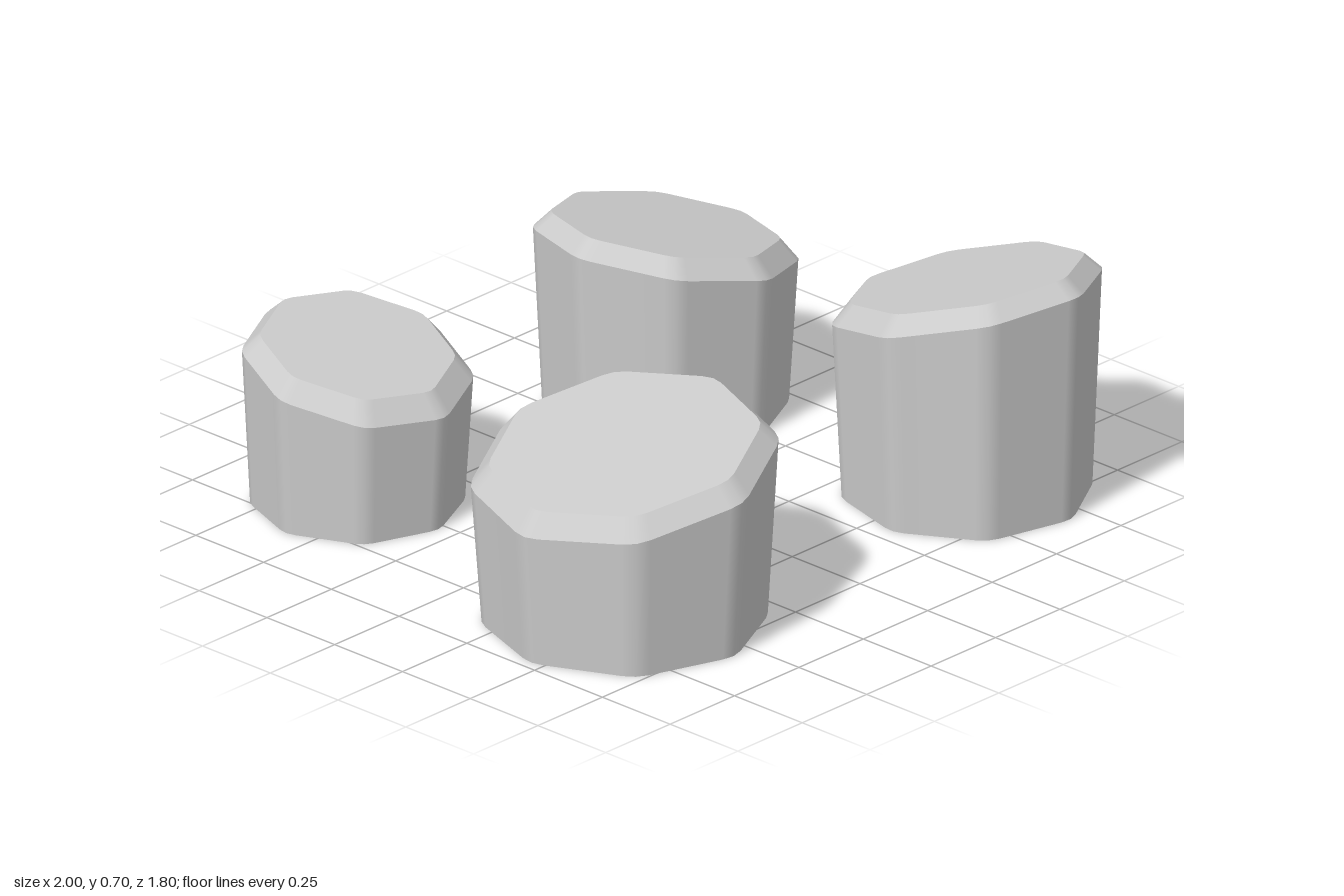
import * as THREE from 'three';

const SIDES = 8;
const CUT = 0.13;      // share of each side taken by the rounded corner
const TAPER = 0.93;    // foot radius relative to rim radius
const BEVEL = 0.05;    // inset of the top edge
const RISE = 0.054;    // height of the bevel

// Octagon outline with softened corners: x, z and facing angle of each point
function outline(radius, turn) {
  const step = (Math.PI * 2) / SIDES;
  const corner = (i) => new THREE.Vector2(Math.cos(turn + i * step), Math.sin(turn + i * step)).multiplyScalar(radius);
  const points = [];
  for (let i = 0; i < SIDES; i++) {
    const c = corner(i);
    const a = c.clone().lerp(corner(i - 1), CUT);
    const b = c.clone().lerp(corner(i + 1), CUT);
    const mid = a.clone().add(b).multiplyScalar(0.25).addScaledVector(c, 0.5);
    const angle = turn + i * step;
    points.push({ p: a, angle: angle - step / 2 }, { p: mid, angle }, { p: b, angle: angle + step / 2 });
  }
  return points;
}

// Band between two rings: flat sides, smooth only around the corners
function band(lower, upper, tangents) {
  const pos = [], nor = [], idx = [], n = lower.length;
  for (let i = 0; i < n; i++) {
    const normal = upper[i].clone().sub(lower[i]).cross(tangents[i]).normalize();
    pos.push(...lower[i], ...upper[i]);
    nor.push(...normal, ...normal);
    const a = i * 2, b = ((i + 1) % n) * 2;
    idx.push(a, a + 1, b, a + 1, b + 1, b);
  }
  return makeGeometry(pos, nor, idx);
}

// Flat lid filling a ring
function lid(ring, normal) {
  const pos = [], nor = [], idx = [], n = ring.length;
  for (let i = 0; i < n; i++) {
    pos.push(...ring[i]);
    nor.push(...normal);
    if (i > 0 && i < n - 1) idx.push(0, i + 1, i);
  }
  return makeGeometry(pos, nor, idx);
}

function makeGeometry(pos, nor, idx) {
  const g = new THREE.BufferGeometry();
  g.setAttribute('position', new THREE.Float32BufferAttribute(pos, 3));
  g.setAttribute('normal', new THREE.Float32BufferAttribute(nor, 3));
  g.setIndex(idx);
  return g;
}

// One hollow, tapered pillar with a slanted, bevelled top
function pillar({ name, x, z, radius, turn, height, slopeX, slopeZ }, material) {
  const points = outline(radius, THREE.MathUtils.degToRad(turn));
  const slant = (px, pz) => slopeX * px + slopeZ * pz;
  const topRing = (scale, h) => points.map(({ p }) => {
    const px = p.x * scale, pz = p.y * scale;
    return new THREE.Vector3(px, h + slant(px, pz), pz);
  });
  const foot = points.map(({ p }) => new THREE.Vector3(p.x * TAPER, 0, p.y * TAPER));
  const rim = topRing(1, height);
  const edge = topRing(1 - BEVEL / radius, height + RISE);
  const level = points.map(({ angle }) => new THREE.Vector3(-Math.sin(angle), 0, Math.cos(angle)));
  const tilted = level.map((t) => new THREE.Vector3(t.x, slant(t.x, t.z), t.z));

  const group = new THREE.Group();
  group.name = name;
  group.position.set(x, 0, z);
  const add = (part, geometry) => {
    const mesh = new THREE.Mesh(geometry, material);
    mesh.name = part;
    group.add(mesh);
  };
  add('wall', band(foot, rim, level));
  add('bevel', band(rim, edge, tilted));
  add('top', lid(edge, new THREE.Vector3(-slopeX, 1, -slopeZ).normalize()));
  return group;
}

export function createModel() {
  const material = new THREE.MeshStandardMaterial({ color: 0xcccccc, side: THREE.DoubleSide });
  const model = new THREE.Group();
  model.name = 'pillars';
  const pillars = [
    { name: 'frontRightPillar', x: -0.587, z: 0.44, radius: 0.421, turn: -3, height: 0.455, slopeX: 0.183, slopeZ: 0 },
    { name: 'frontLeftPillar', x: 0.64, z: 0.537, radius: 0.373, turn: -8, height: 0.565, slopeX: 0, slopeZ: 0.262 },
    { name: 'backLeftPillar', x: 0.484, z: -0.427, radius: 0.363, turn: -3, height: 0.468, slopeX: -0.22, slopeZ: 0 },
    { name: 'backRightPillar', x: -0.535, z: -0.595, radius: 0.316, turn: -2, height: 0.4, slopeX: 0, slopeZ: -0.21 },
  ];
  for (const p of pillars) model.add(pillar(p, material));
  return model;
}
